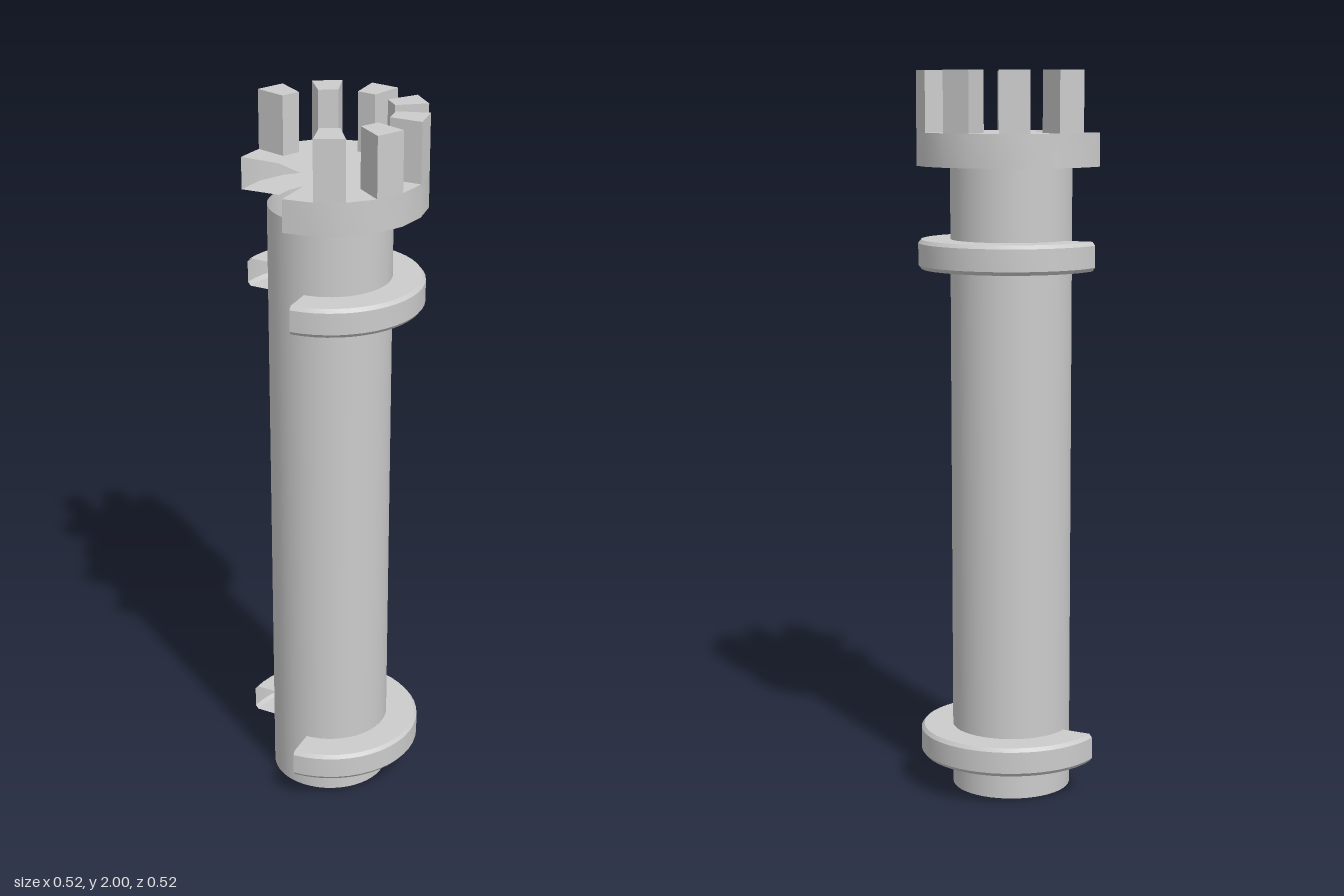
import * as THREE from 'three';
import { toCreasedNormals } from 'three/addons/utils/BufferGeometryUtils.js';

const material = new THREE.MeshStandardMaterial({ color: 0xcccccc, side: THREE.DoubleSide });
const SEGMENTS = 15;
const ARC = THREE.MathUtils.degToRad(273.75);
const STEP = ARC / SEGMENTS;
const DECK_RADIUS = 0.26;
const DECK_Y = 1.835;

// Point on a circle seen from above; angle 0 is the front, growing towards +x
const polar = (r, a) => new THREE.Vector2(r * Math.sin(a), r * Math.cos(a));

// Open partial revolution with crisp profile corners
function sweep(profile, segments, start, arc) {
  const points = profile.map(([r, y]) => new THREE.Vector2(r, y));
  return toCreasedNormals(new THREE.LatheGeometry(points, segments, start, arc), 0.5);
}

export function createModel() {
  const model = new THREE.Group();
  const add = (name, geometry, parent = model) => {
    const mesh = new THREE.Mesh(geometry, material);
    mesh.name = name;
    parent.add(mesh);
    return mesh;
  };

  // Hollow shaft, open at both ends
  const shaft = add('shaft', new THREE.CylinderGeometry(0.167, 0.165, 1.745, 48, 1, true));
  shaft.position.y = 1.745 / 2;

  // Three-quarter collars with softened outer edges and open ends
  const collar = [
    [0.15, 0], [0.247, 0], [0.255, 0.01], [0.255, 0.07], [0.247, 0.08], [0.15, 0.08],
  ];
  const collarStart = 0.06;
  for (const [name, y] of [['lowerCollar', 0.092], ['upperCollar', 1.465]]) {
    const geometry = sweep(collar, 36, collarStart, Math.PI * 1.5 - collarStart);
    add(name, geometry).position.y = y;
  }

  // Underside and outer wall of the crown
  add('crownWall', sweep(
    [[0.15, 1.745], [DECK_RADIUS, 1.745], [DECK_RADIUS, DECK_Y]], SEGMENTS, 0, ARC));

  // Deck with a broken-out front corner
  const rim = [];
  for (let i = 0; i <= SEGMENTS; i++) rim.push(polar(DECK_RADIUS, i * STEP));
  const breakLine = [[-0.145, 0.017], [-0.045, 0.065], [0, 0.14]];
  const outline = [...rim, ...breakLine.map(([x, z]) => new THREE.Vector2(x, z))];
  const deck = new THREE.ShapeGeometry(new THREE.Shape(outline)).rotateX(Math.PI / 2);
  add('deck', deck).position.y = DECK_Y;

  // Merlons on every other segment of the rim
  const merlons = new THREE.Group();
  merlons.name = 'merlons';
  model.add(merlons);
  for (let i = 1; i < SEGMENTS; i += 2) {
    const a = i * STEP, b = a + STEP;
    const shape = new THREE.Shape([
      polar(0.17, a), polar(DECK_RADIUS, a), polar(DECK_RADIUS, b), polar(0.17, b),
    ]);
    const geometry = new THREE.ExtrudeGeometry(shape, { depth: 2 - DECK_Y, bevelEnabled: false });
    add('merlon', geometry.rotateX(Math.PI / 2), merlons).position.y = 2;
  }

  return model;
}
